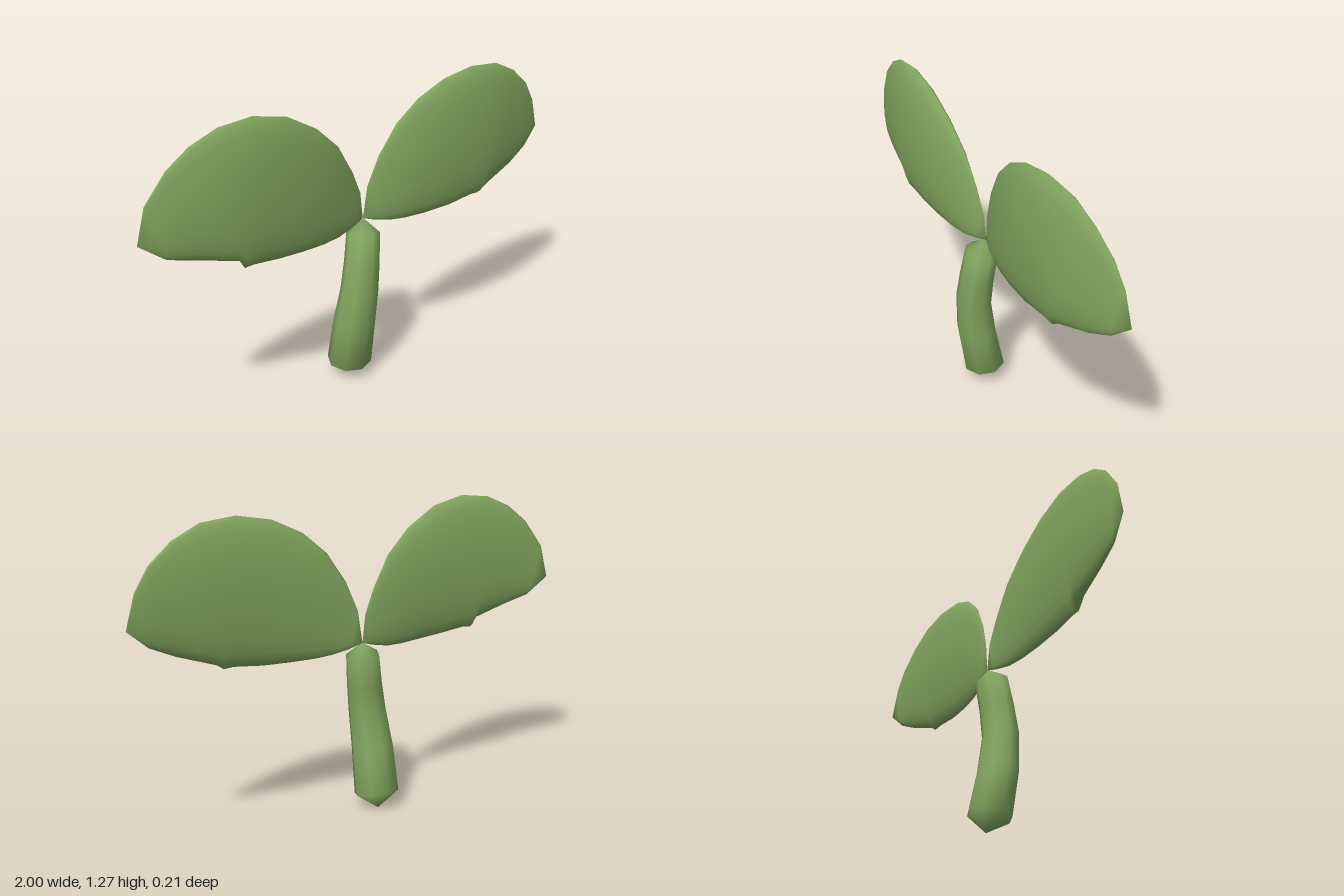
import * as THREE from 'three';
import { mergeVertices } from 'three/addons/utils/BufferGeometryUtils.js';

// Skin a list of closed rings (arrays of [x, y, z]) with smooth normals
function loft(rings) {
  const n = rings[0].length;
  const index = [];
  for (let i = 0; i < rings.length - 1; i++) {
    for (let j = 0; j < n; j++) {
      const k = (j + 1) % n;
      const a = i * n + j, b = (i + 1) * n + j, c = (i + 1) * n + k, d = i * n + k;
      index.push(a, b, d, b, c, d);
    }
  }
  const geometry = new THREE.BufferGeometry();
  geometry.setAttribute('position', new THREE.Float32BufferAttribute(rings.flat(2), 3));
  geometry.setIndex(index);
  const merged = mergeVertices(geometry, 1e-5);
  merged.computeVertexNormals();
  return merged;
}

// Leaf: rings join each upper outline point to its lower partner;
// the blade bows forward and swells to a thin lens between base and tip
function leafGeometry(side, upper, lower) {
  const sides = 20;
  const rings = upper.map(([ux, uy], i) => {
    const [lx, ly] = lower[i];
    return Array.from({ length: sides }, (_, j) => {
      const angle = (j / sides) * Math.PI * 2;
      const t = (1 - Math.cos(angle)) / 2;
      const x = lx + (ux - lx) * t;
      const y = ly + (uy - ly) * t;
      const bow = 0.05 * 4 * x * (1 - x);
      return [side * x, y, bow + side * Math.sin(angle) * bow];
    });
  });
  return loft(rings);
}

// Stem: rings [x, y, z, radiusX, radiusZ, slopeX, slopeZ] from foot to neck
function stemGeometry() {
  const sides = 8;
  const sections = [
    [-0.055, 0.005, -0.035, 0, 0, 0, 0],
    [-0.057, 0.073, -0.02, 0.098, 0.086, 0, -0.18],
    [-0.06, 0.26, 0.015, 0.092, 0.082, 0, -0.08],
    [-0.046, 0.42, 0.034, 0.082, 0.073, -0.08, 0],
    [-0.028, 0.54, 0.028, 0.076, 0.069, -0.1, 0.08],
    [-0.01, 0.662, 0.014, 0.071, 0.065, -0.15, 0.18],
    [0, 0.717, 0.005, 0, 0, 0, 0],
  ];
  return loft(sections.map(([x, y, z, rx, rz, sx, sz]) =>
    Array.from({ length: sides }, (_, j) => {
      const a = (j / sides) * Math.PI * 2;
      const dx = Math.cos(a) * rx, dz = Math.sin(a) * rz;
      return [x + dx, y + dx * sx + dz * sz, z + dz];
    })));
}

export function createModel() {
  const green = new THREE.MeshStandardMaterial({ color: 0x84a860 });
  green.name = 'leafGreen';

  const group = new THREE.Group();
  group.name = 'sprout';
  const add = (name, geometry) => {
    const mesh = new THREE.Mesh(geometry, green);
    mesh.name = name;
    group.add(mesh);
  };

  add('stem', stemGeometry());

  // Left leaf, with a small pointed corner on its lower edge
  add('leftLeaf', leafGeometry(1,
    [[0, 0.715], [0.02, 0.85], [0.07, 0.97], [0.15, 1.09], [0.25, 1.175], [0.38, 1.235],
      [0.53, 1.26], [0.68, 1.245], [0.8, 1.19], [0.9, 1.11], [0.96, 1.02], [1, 0.89]],
    [[0, 0.715], [0.06, 0.695], [0.13, 0.68], [0.2, 0.673], [0.3, 0.671], [0.43, 0.674],
      [0.56, 0.688], [0.6, 0.685], [0.63, 0.705], [0.8, 0.765], [0.91, 0.815], [1, 0.89]]));

  // Right leaf, slightly taller
  add('rightLeaf', leafGeometry(-1,
    [[0, 0.715], [0.015, 0.83], [0.06, 0.93], [0.14, 1.06], [0.25, 1.16], [0.39, 1.24],
      [0.54, 1.275], [0.68, 1.262], [0.79, 1.215], [0.88, 1.145], [0.965, 1.03], [1, 0.89]],
    [[0, 0.715], [0.06, 0.698], [0.14, 0.681], [0.22, 0.678], [0.32, 0.683], [0.44, 0.691],
      [0.56, 0.703], [0.6, 0.7], [0.62, 0.735], [0.79, 0.785], [0.9, 0.815], [1, 0.89]]));

  return group;
}
